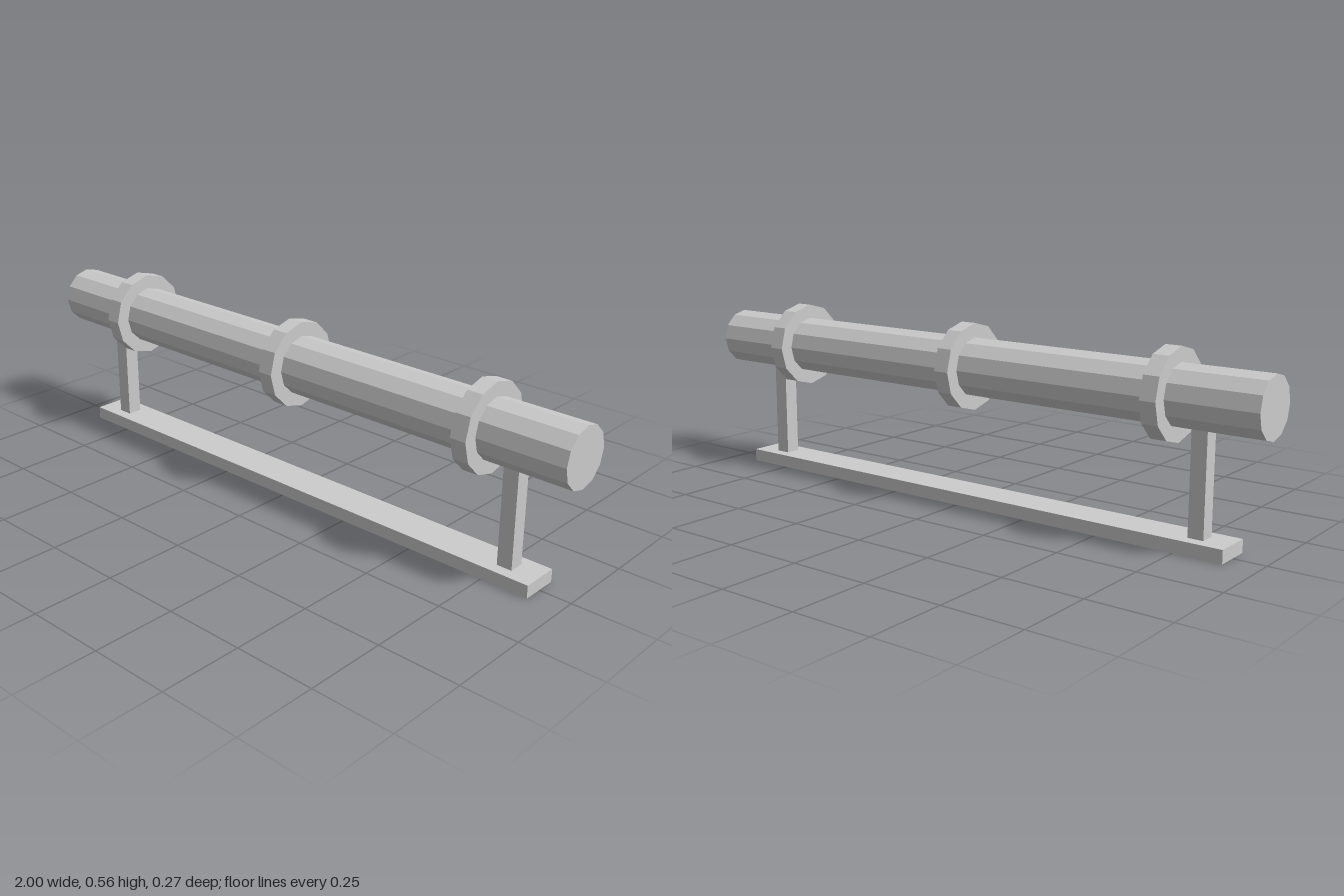
import * as THREE from 'three';

export function createModel() {
  const model = new THREE.Group();
  const material = new THREE.MeshStandardMaterial({ color: 0xcccccc, flatShading: true });
  const axisY = 0.427;

  const add = (name, geometry, x, y) => {
    const mesh = new THREE.Mesh(geometry, material);
    mesh.name = name;
    mesh.position.set(x, y, 0);
    model.add(mesh);
  };

  // Twelve-sided cylinder lying along x
  const barrel = (radius, length) =>
    new THREE.CylinderGeometry(radius, radius, length, 12).rotateZ(Math.PI / 2);

  // Horizontal pipe with three collars
  add('pipe', barrel(0.09, 2), 0, axisY);
  for (const [name, x] of [['rightCollar', -0.7], ['middleCollar', 0], ['leftCollar', 0.7]]) {
    add(name, barrel(0.134, 0.05), x, axisY);
  }

  // Flat base bar
  add('base', new THREE.BoxGeometry(1.8, 0.04, 0.12), 0, 0.02);

  // Posts rising from the base into the underside of the pipe
  const bottom = 0.04, top = 0.345;
  for (const [name, x] of [['rightPost', -0.8], ['leftPost', 0.8]]) {
    add(name, new THREE.BoxGeometry(0.048, top - bottom, 0.048), x, (top + bottom) / 2);
  }

  return model;
}
